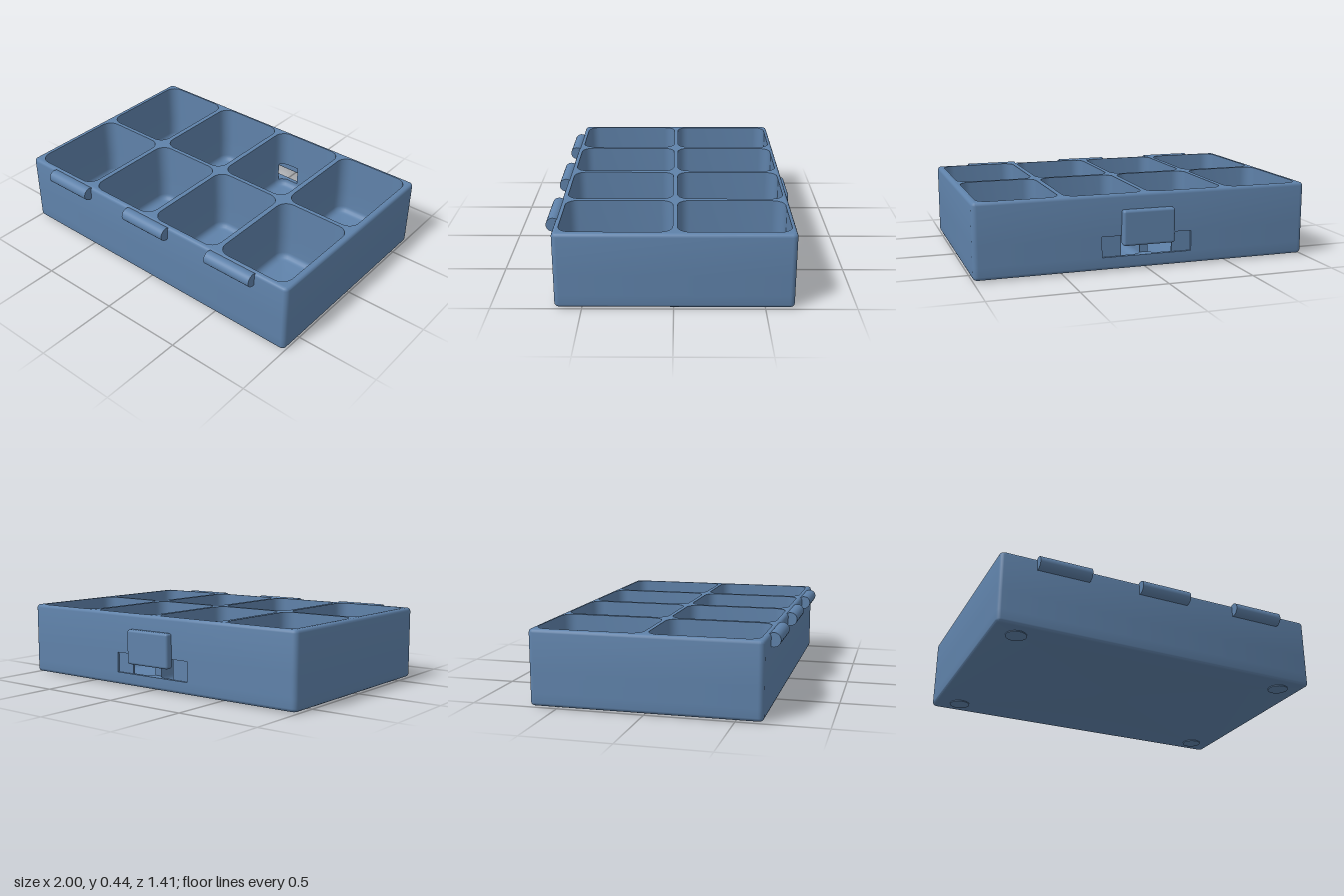
import * as THREE from 'three';
import { toCreasedNormals } from 'three/addons/utils/BufferGeometryUtils.js';
import { RoundedBoxGeometry } from 'three/addons/geometries/RoundedBoxGeometry.js';

const TOP = 0.44, BASE = 0.006, FLOOR = 0.035;
const SLOT_LOW = 0.08, SLOT_HIGH = 0.2, RECESS = 0.27, HOLE = 0.155;
const STEPS = 6;

// Rounded rectangle at height y; the back side is split at +-split
function ring(cx, cz, hw, hd, r, y, split) {
  const pts = [];
  const signs = [[1, 1], [-1, 1], [-1, -1], [1, -1]];
  signs.forEach(([sx, sz], q) => {
    if (q === 3) {
      const s = Math.min(split, hw);
      pts.push([cx - s, y, cz - hd], [cx + s, y, cz - hd]);
    }
    for (let k = 0; k <= STEPS; k++) {
      const a = (q + k / STEPS) * Math.PI / 2;
      pts.push([cx + sx * (hw - r) + r * Math.cos(a), y, cz + sz * (hd - r) + r * Math.sin(a)]);
    }
  });
  return pts;
}

// Skin over rings: faces out when they rise, in when they descend
function loft(rings, skip) {
  const pos = [];
  for (let i = 0; i + 1 < rings.length; i++) {
    const n = rings[i].length;
    for (let j = 0; j < n; j++) {
      const k = (j + 1) % n;
      const a = rings[i][j], b = rings[i][k], c = rings[i + 1][k], d = rings[i + 1][j];
      const mid = [0, 1, 2].map((m) => (a[m] + b[m] + c[m] + d[m]) / 4);
      if (!skip(mid)) pos.push(...a, ...d, ...c, ...a, ...c, ...b);
    }
  }
  const g = new THREE.BufferGeometry();
  g.setAttribute('position', new THREE.Float32BufferAttribute(pos, 3));
  return toCreasedNormals(g, 0.7);
}

// Flat horizontal sheet from [x, z] points
const toPoints = (pts) => pts.map(([x, z]) => new THREE.Vector2(x, -z));
function sheet(outline, holes, y) {
  const shape = new THREE.Shape(toPoints(outline));
  holes.forEach((h) => shape.holes.push(new THREE.Path(toPoints(h))));
  return new THREE.ShapeGeometry(shape).rotateX(-Math.PI / 2).translate(0, y, 0);
}

export function createModel() {
  const model = new THREE.Group();
  model.name = 'compartmentBox';
  const plastic = new THREE.MeshStandardMaterial({ color: 0x5f82aa });
  const thin = new THREE.MeshStandardMaterial({ color: 0x5f82aa, side: THREE.DoubleSide });
  const add = (name, geometry, material = plastic) => {
    const mesh = new THREE.Mesh(geometry, material);
    mesh.name = name;
    model.add(mesh);
    return mesh;
  };
  const inSlot = (p, half, z) => p[1] > SLOT_LOW && p[1] < SLOT_HIGH && p[2] < z && Math.abs(p[0]) < half;

  // Outer shell with softened edges
  const E = 0.02;
  const outer = (inset, y) => ring(0, -0.005, 1 - inset, 0.655 - inset, 0.03 - inset, y, RECESS);
  const shell = [ring(0, -0.005, 0, 0, 0, BASE, RECESS)];
  for (let k = 0; k <= 4; k++) {
    const a = k * Math.PI / 8;
    shell.push(outer(E * (1 - Math.sin(a)), BASE + E * (1 - Math.cos(a))));
  }
  shell.push(outer(0, SLOT_LOW), outer(0, SLOT_HIGH));
  for (let k = 0; k <= 4; k++) {
    const a = k * Math.PI / 8;
    shell.push(outer(E * (1 - Math.cos(a)), TOP - E * (1 - Math.sin(a))));
  }
  add('outerShell', loft(shell, (p) => inSlot(p, RECESS, -0.65)));

  // Eight compartments with filleted floors
  const F = 0.04, mouths = [];
  for (const cx of [-0.735, -0.245, 0.245, 0.735]) {
    for (const cz of [-0.3275, 0.3125]) {
      const level = (inset, y) => ring(cx, cz, 0.23 - inset, 0.3075 - inset, 0.07 - inset, y, 0.09);
      const rings = [level(0, TOP), level(0, SLOT_HIGH), level(0, SLOT_LOW)];
      for (let k = 0; k <= 5; k++) {
        const a = k * Math.PI / 10;
        rings.push(level(F * (1 - Math.cos(a)), FLOOR + F * (1 - Math.sin(a))));
      }
      rings.push(ring(cx, cz, 0, 0, 0, FLOOR, 0.09));
      mouths.push(rings[0].map((p) => [p[0], p[2]]));
      add('compartment', loft(rings, (p) => inSlot(p, HOLE, -0.6)));
    }
  }

  // Top rim around the compartments
  add('rim', sheet(shell[shell.length - 1].map((p) => [p[0], p[2]]), mouths, TOP));

  // Stepped slot through the back wall
  const half = [[RECESS, -0.66], [RECESS, -0.648], [HOLE, -0.648], [HOLE, -0.635]];
  for (let k = 0; k <= 4; k++) {
    const a = k * Math.PI / 12;
    half.push([0.085 - 0.07 * Math.sin(a), -0.565 - 0.07 * Math.cos(a)]);
  }
  const mirrored = half.map(([x, z]) => [-x, z]);
  const outline = [...half, ...mirrored.slice().reverse()];
  add('slotFloor', sheet(outline, [], SLOT_LOW), thin);
  add('slotCeiling', sheet(outline, [], SLOT_HIGH), thin);
  const last = half.length - 1;
  const slotWall = (a, b) => {
    const dx = b[0] - a[0], dz = b[1] - a[1];
    const g = new THREE.PlaneGeometry(Math.hypot(dx, dz), SLOT_HIGH - SLOT_LOW);
    g.rotateY(Math.atan2(-dz, dx));
    g.translate((a[0] + b[0]) / 2, (SLOT_LOW + SLOT_HIGH) / 2, (a[1] + b[1]) / 2);
    add('slotWall', g, thin);
  };
  for (const side of [half, mirrored]) {
    for (let i = 0; i < 3; i++) slotWall(side[i], side[i + 1]);
  }
  slotWall(half[last], mirrored[last]);

  // Latch tab on the back
  add('latch', new RoundedBoxGeometry(0.312, 0.205, 0.05, 3, 0.015)).position.set(0, 0.248, -0.677);

  // Hinge barrels on the front
  for (const x of [-0.63, 0, 0.63]) {
    const barrel = new THREE.CylinderGeometry(0.04, 0.04, 0.314, 32).rotateZ(Math.PI / 2);
    add('hingeBarrel', barrel).position.set(x, 0.404, 0.664);
  }

  // Thin round feet
  for (const x of [-0.85, 0.85]) {
    for (const z of [-0.54, 0.53]) {
      add('foot', new THREE.CylinderGeometry(0.06, 0.06, 0.01, 32)).position.set(x, 0.005, z);
    }
  }
  return model;
}
